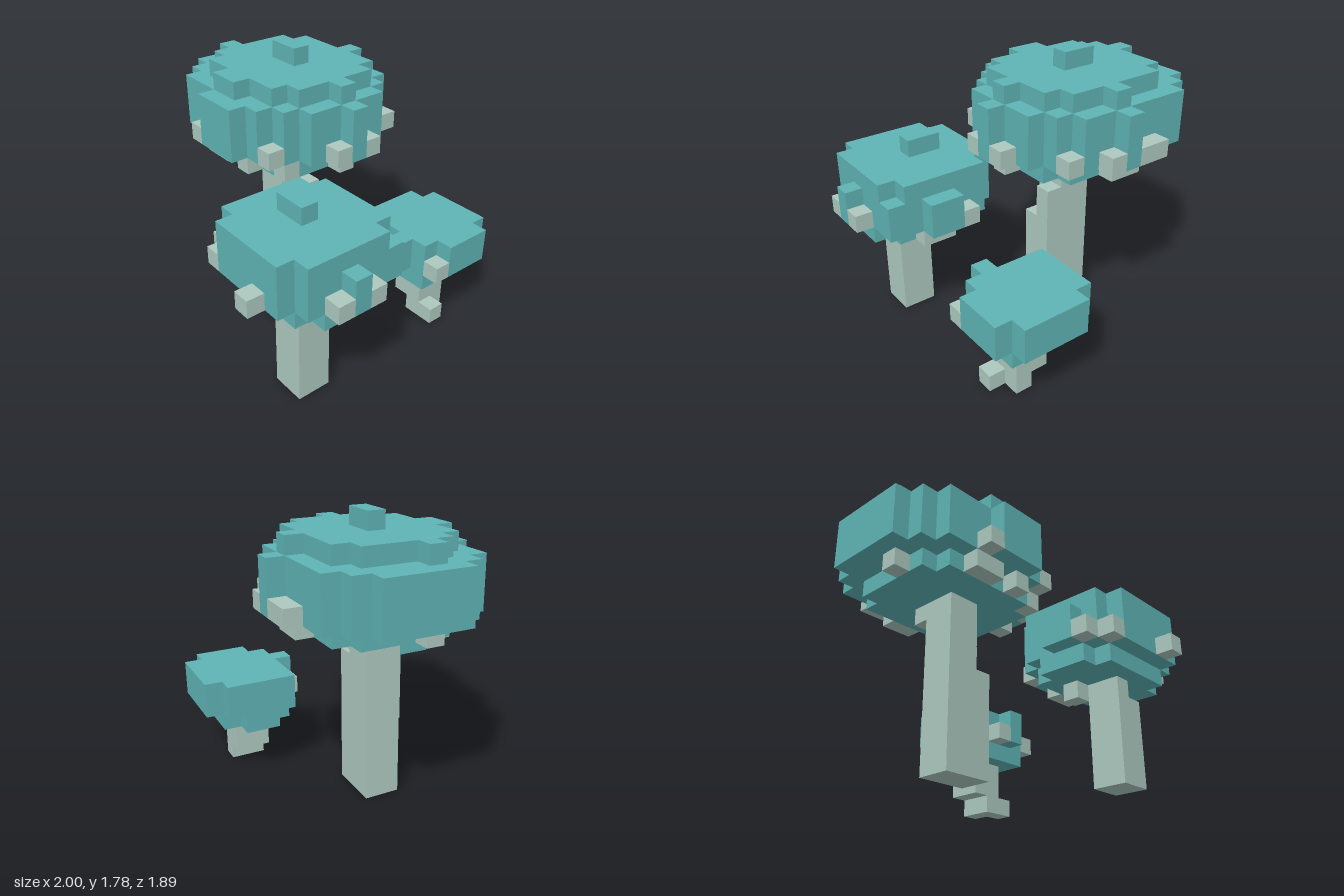
import * as THREE from 'three';

const U = 1 / 9; // edge of one cube
const teal = new THREE.MeshStandardMaterial({ color: 0x5fb4b5 });
teal.name = 'cap teal';
const pale = new THREE.MeshStandardMaterial({ color: 0xadc9c0 });
pale.name = 'stem pale grey';

// Block between grid lines: x from i0 to i1, y from j0 to j1, z from k0 to k1
function block(group, name, mat, i0, i1, j0, j1, k0, k1) {
  const geo = new THREE.BoxGeometry((i1 - i0) * U, (j1 - j0) * U, (k1 - k0) * U);
  const mesh = new THREE.Mesh(geo, mat);
  mesh.name = name;
  mesh.position.set(((i0 + i1) / 2 - 9) * U, ((j0 + j1) / 2) * U, ((k0 + k1) / 2 - 8.5) * U);
  group.add(mesh);
}

// Layer made of strips [i0, i1, k0, k1] that share one height range
function layer(group, name, mat, j0, j1, strips) {
  for (const [i0, i1, k0, k1] of strips) block(group, name, mat, i0, i1, j0, j1, k0, k1);
}

// Single cubes at [i, k] in row j
function cubes(group, name, mat, j, cells) {
  for (const [i, k] of cells) block(group, name, mat, i, i + 1, j, j + 1, k, k + 1);
}

function largeMushroom() {
  const g = new THREE.Group();
  g.name = 'largeMushroom';
  // stem
  block(g, 'stem', pale, 5, 7, 0, 10, 7, 9);
  block(g, 'stemSide', pale, 7, 8, 0, 6, 7, 9);
  block(g, 'stemKnot', pale, 7, 8, 6, 8, 7, 8);
  block(g, 'stemCollar', pale, 5, 7, 9, 10, 6, 7);
  // underside
  layer(g, 'capUnderside', teal, 10, 11, [[2, 3, 5, 10], [3, 9, 4, 11], [9, 10, 5, 10]]);
  cubes(g, 'gill', pale, 10, [[1, 8], [4, 11], [5, 11], [7, 11], [9, 10], [10, 7], [5, 3], [6, 3]]);
  // wide cap and its bumps
  layer(g, 'capRim', teal, 11, 14, [
    [0, 1, 5, 10], [1, 2, 4, 11], [2, 9, 3, 12], [9, 10, 4, 11], [10, 11, 5, 10],
    [5, 8, 12, 13], [6, 7, 2, 3], [11, 12, 7, 8],
  ]);
  cubes(g, 'rimSpot', pale, 11, [[4, 2], [5, 2], [7, 2], [9, 3], [11, 6], [11, 8], [9, 11], [4, 12]]);
  // crown and knob
  layer(g, 'capCrown', teal, 14, 15, [
    [2, 3, 5, 10], [3, 9, 4, 11], [9, 10, 5, 10],
    [1, 2, 8, 9], [10, 11, 7, 8], [6, 7, 3, 4], [5, 7, 11, 12],
  ]);
  block(g, 'capKnob', teal, 5, 7, 15, 16, 7, 8);
  return g;
}

function middleMushroom() {
  const g = new THREE.Group();
  g.name = 'middleMushroom';
  // stem, notched at the top
  block(g, 'stem', pale, 13, 15, 0, 5, 12, 14);
  layer(g, 'stemTop', pale, 5, 6, [[13, 14, 12, 14], [14, 15, 12, 13]]);
  cubes(g, 'stemKnot', pale, 5, [[12, 11]]);
  // underside
  layer(g, 'capUnderside', teal, 6, 7, [[10, 11, 11, 14], [11, 16, 10, 15], [16, 17, 11, 14]]);
  cubes(g, 'gill', pale, 6, [[13, 9], [14, 9]]);
  // cap and lower bumps
  layer(g, 'cap', teal, 7, 10, [[10, 11, 10, 15], [11, 16, 9, 16], [16, 17, 10, 15]]);
  layer(g, 'capBump', teal, 7, 9, [[9, 10, 12, 14], [17, 18, 12, 13], [13, 15, 8, 9], [16, 17, 9, 10]]);
  cubes(g, 'rimSpot', pale, 7, [[9, 14], [10, 15], [14, 16], [17, 11], [17, 13], [12, 8]]);
  block(g, 'capKnob', teal, 12, 14, 10, 11, 12, 13);
  return g;
}

function smallMushroom() {
  const g = new THREE.Group();
  g.name = 'smallMushroom';
  // stem and broken foot
  block(g, 'stem', pale, 12, 14, 1, 3, 2, 4);
  cubes(g, 'stemFoot', pale, 0, [[13, 2], [13, 3], [14, 3]]);
  // underside
  layer(g, 'capUnderside', teal, 3, 4, [[10, 11, 2, 4], [11, 15, 1, 5]]);
  // cap
  layer(g, 'cap', teal, 4, 6, [[10, 11, 1, 5], [11, 15, 0, 5], [15, 16, 1, 4], [13, 14, 5, 6]]);
  cubes(g, 'rimSpot', pale, 4, [[15, 4], [12, 5]]);
  return g;
}

export function createModel() {
  const model = new THREE.Group();
  model.name = 'mushroomCluster';
  model.add(largeMushroom(), middleMushroom(), smallMushroom());
  return model;
}
